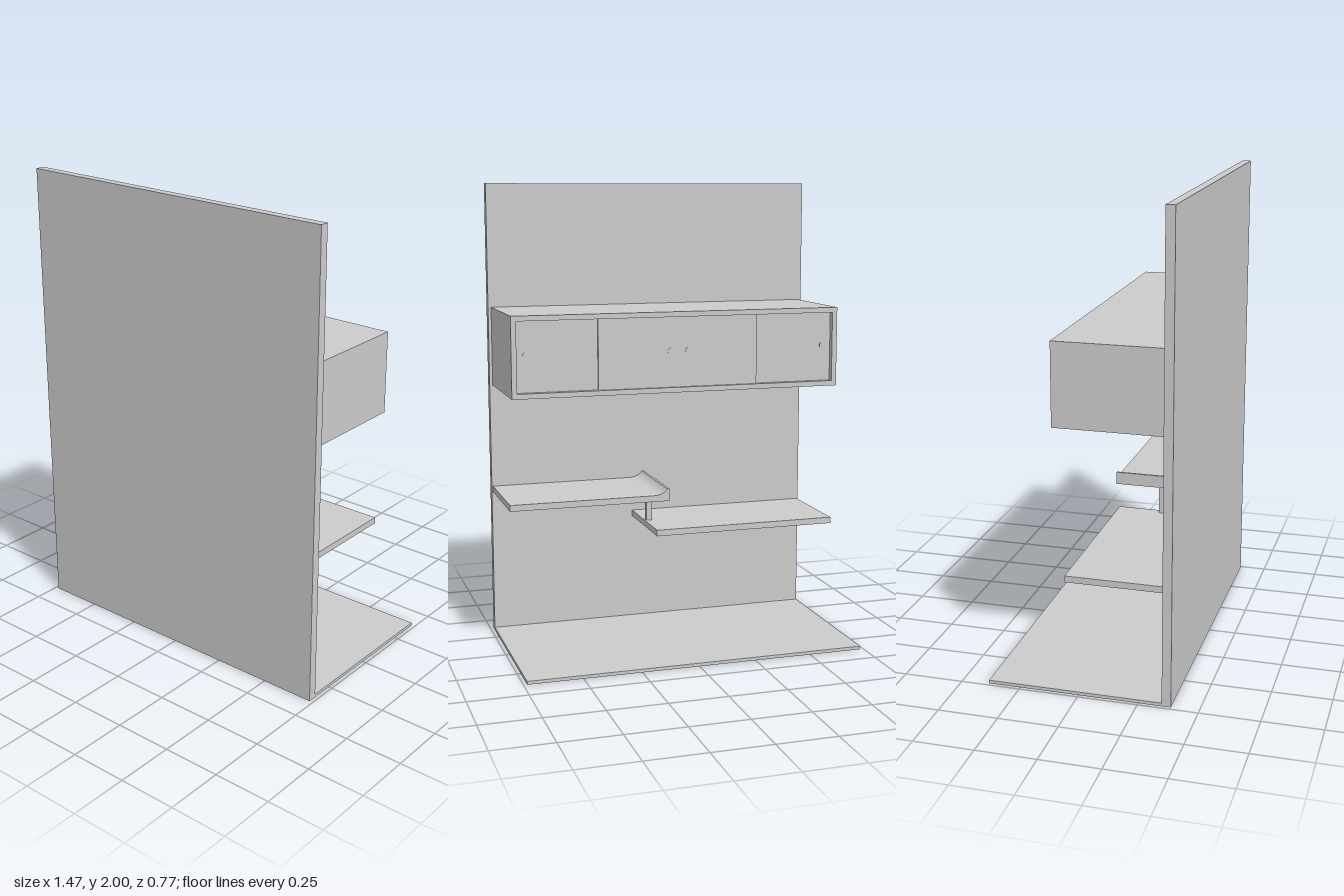
import * as THREE from 'three';

const material = new THREE.MeshStandardMaterial({ color: 0xcccccc, flatShading: true });

export function createModel() {
  const model = new THREE.Group();
  model.name = 'wallUnit';

  // Box given by its minimum and maximum on each axis
  const box = (name, [x0, x1], [y0, y1], [z0, z1], parent = model) => {
    const mesh = new THREE.Mesh(new THREE.BoxGeometry(x1 - x0, y1 - y0, z1 - z0), material);
    mesh.position.set((x0 + x1) / 2, (y0 + y1) / 2, (z0 + z1) / 2);
    mesh.name = name;
    parent.add(mesh);
    return mesh;
  };

  // Tall wall panel and floor slab
  box('wallPanel', [-0.735, 0.735], [0, 2], [0.347, 0.385]);
  box('floorSlab', [-0.735, 0.735], [0, 0.014], [-0.385, 0.347]);

  // Lower shelf and the post carrying the upper one
  box('lowerShelf', [-0.73, 0.087], [0.487, 0.514], [-0.055, 0.347]);
  box('shelfPost', [0.055, 0.08], [0.514, 0.641], [0.135, 0.16]);

  // Upper shelf with a curved lip at its free end
  const profile = new THREE.Shape();
  profile.moveTo(0.73, 0.641);
  profile.lineTo(0.73, 0.668);
  profile.lineTo(0.1, 0.668);
  profile.quadraticCurveTo(0.058, 0.668, 0.04, 0.695);
  profile.lineTo(0.03, 0.695);
  profile.lineTo(0.03, 0.641);
  profile.closePath();
  const shelf = new THREE.Mesh(
    new THREE.ExtrudeGeometry(profile, { depth: 0.402, bevelEnabled: false, curveSegments: 8 }), material);
  shelf.position.z = -0.055;
  shelf.name = 'upperShelf';
  model.add(shelf);

  // Hanging cabinet carcass
  const cabinet = new THREE.Group();
  cabinet.name = 'cabinet';
  model.add(cabinet);
  const W = 0.722, T = 0.022, Y0 = 1.122, Y1 = 1.466, depth = [-0.103, 0.347];
  box('cabinetTop', [-W, W], [Y1 - T, Y1], depth, cabinet);
  box('cabinetBottom', [-W, W], [Y0, Y0 + T], depth, cabinet);
  for (const s of [-1, 1]) {
    const c = s * (W - T / 2);
    box('cabinetSide', [c - T / 2, c + T / 2], [Y0 + T, Y1 - T], depth, cabinet);
  }
  box('cabinetBack', [-W + T, W - T], [Y0 + T, Y1 - T], [0.335, 0.347], cabinet);

  // Sliding doors: the middle one runs in front of the outer two
  const doorY = [Y0 + T, Y1 - T];
  box('middleDoor', [-0.352, 0.352], doorY, [-0.09, -0.08], cabinet);
  for (const s of [-1, 1]) {
    const c = s * 0.515;
    box('outerDoor', [c - 0.185, c + 0.185], doorY, [-0.078, -0.068], cabinet);
  }

  // Small round door pulls
  for (const [x, z] of [[-0.66, -0.079], [-0.04, -0.091], [0.04, -0.091], [0.66, -0.079]]) {
    const pull = new THREE.Mesh(new THREE.CylinderGeometry(0.011, 0.011, 0.006, 16), material);
    pull.rotation.x = Math.PI / 2;
    pull.position.set(x, 1.3, z);
    pull.name = 'doorPull';
    cabinet.add(pull);
  }

  return model;
}
